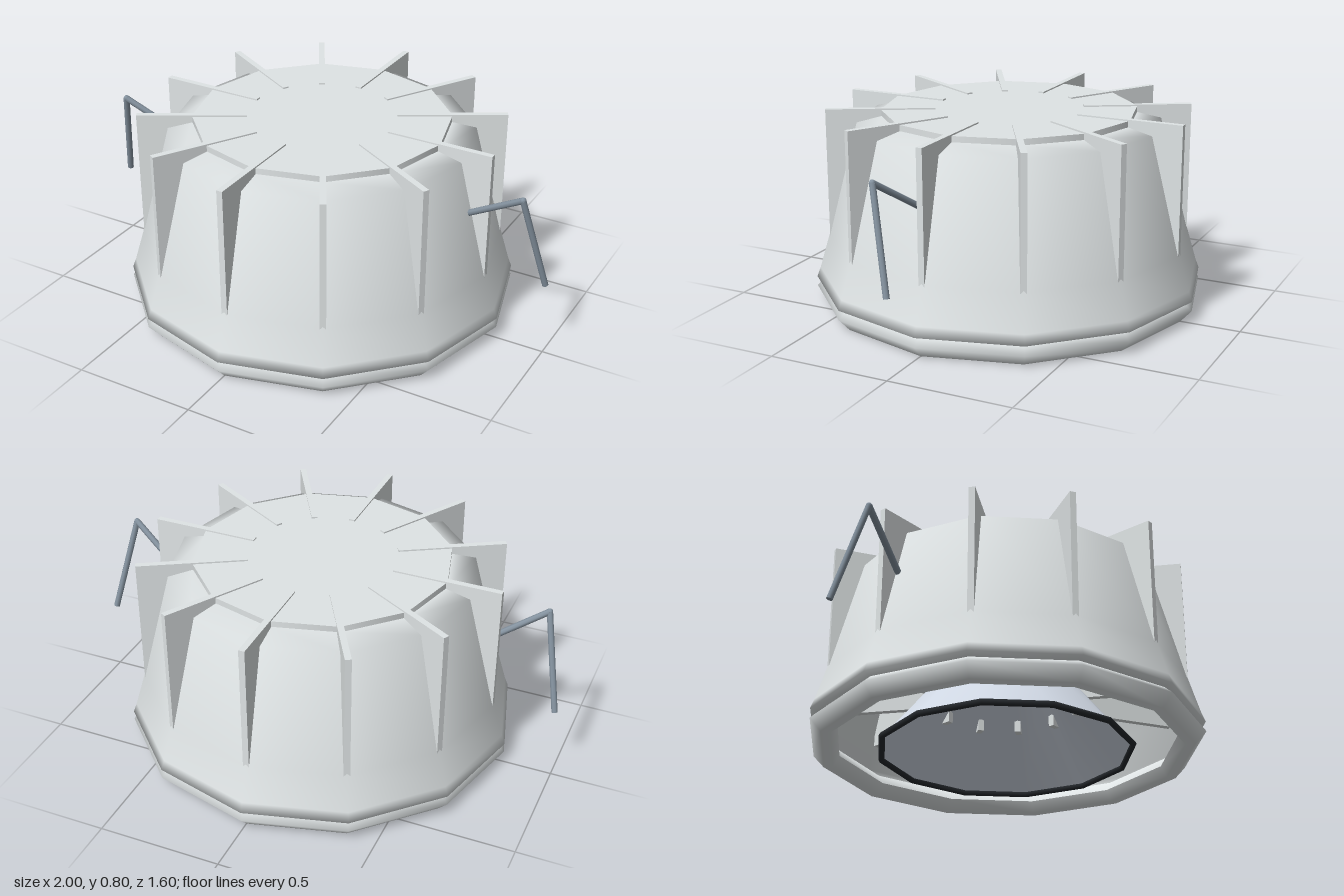
import * as THREE from 'three';

const SIDES = 12;
const material = (color, extra = {}) => new THREE.MeshStandardMaterial({ color, ...extra });

export function createModel() {
  const model = new THREE.Group();
  model.name = 'recessedDownlight';
  const metal = material(0xdfe4e5);
  const metalOpen = material(0xdfe4e5, { side: THREE.DoubleSide });
  const steel = material(0x8593a0);

  const add = (name, geometry, mat, parent = model) => {
    const mesh = new THREE.Mesh(geometry, mat);
    mesh.name = name;
    parent.add(mesh);
    return mesh;
  };
  const lathe = (points) =>
    new THREE.LatheGeometry(points.map(([r, y]) => new THREE.Vector2(r, y)), SIDES);

  // Tapered housing, open underneath, with a softened shoulder
  add('housing', lathe([
    [0.75, 0.078], [0.8, 0.09], [0.785, 0.13], [0.742, 0.275], [0.62, 0.745], [0.52, 0.77], [0, 0.77],
  ]), metalOpen);

  // Flat plate closing the top
  add('topPlate', new THREE.CylinderGeometry(0.52, 0.52, 0.025, SIDES), metal).position.y = 0.7815;

  // Bevelled trim ring at the bottom
  add('trimRing', lathe([
    [0.69, 0.045], [0.715, 0], [0.755, 0], [0.8, 0.05], [0.765, 0.082], [0.715, 0.085], [0.69, 0.045],
  ]), metalOpen);

  // Radial cooling fins, running through the housing wall, their tips just meeting the reflector
  const fins = new THREE.Group();
  fins.name = 'coolingFins';
  model.add(fins);
  const finGeometry = new THREE.BoxGeometry(0.44, 0.575, 0.025).translate(0.52, 0.5125, 0);
  for (let i = 0; i < SIDES; i++) {
    add('coolingFin', finGeometry, metal, fins).rotation.y = (i * Math.PI * 2) / SIDES;
  }

  // Conical reflector with its dark lip
  add('reflector', lathe([[0.505, 0.02], [0.22, 0.375]]), material(0xd0d8e4, { side: THREE.DoubleSide }));
  const lip = add('reflectorLip', new THREE.TorusGeometry(0.512, 0.013, 6, SIDES), material(0x24282c));
  lip.rotation.x = Math.PI / 2;
  lip.position.y = 0.016;

  // Light source at the top of the reflector
  add('lightSource', new THREE.CylinderGeometry(0.22, 0.22, 0.03, SIDES), material(0xd9a520)).position.y = 0.385;

  // Bent wire spring clips, one on each side
  const rod = (from, to, parent) => {
    const direction = to.clone().sub(from);
    const mesh = add('clipRod', new THREE.CylinderGeometry(0.013, 0.013, direction.length(), 8), steel, parent);
    mesh.position.copy(from).add(to).multiplyScalar(0.5);
    mesh.quaternion.setFromUnitVectors(new THREE.Vector3(0, 1, 0), direction.normalize());
  };
  for (const side of [1, -1]) {
    const clip = new THREE.Group();
    clip.name = side > 0 ? 'leftSpringClip' : 'rightSpringClip';
    model.add(clip);
    const [root, elbow, tip] = [[0.6, 0.505, 0], [0.905, 0.7, 0.095], [0.987, 0.308, 0]]
      .map(([x, y, z]) => new THREE.Vector3(x * side, y, z));
    rod(root, elbow, clip);
    rod(elbow, tip, clip);
    add('clipElbow', new THREE.SphereGeometry(0.013, 8, 6), steel, clip).position.copy(elbow);
  }

  return model;
}
